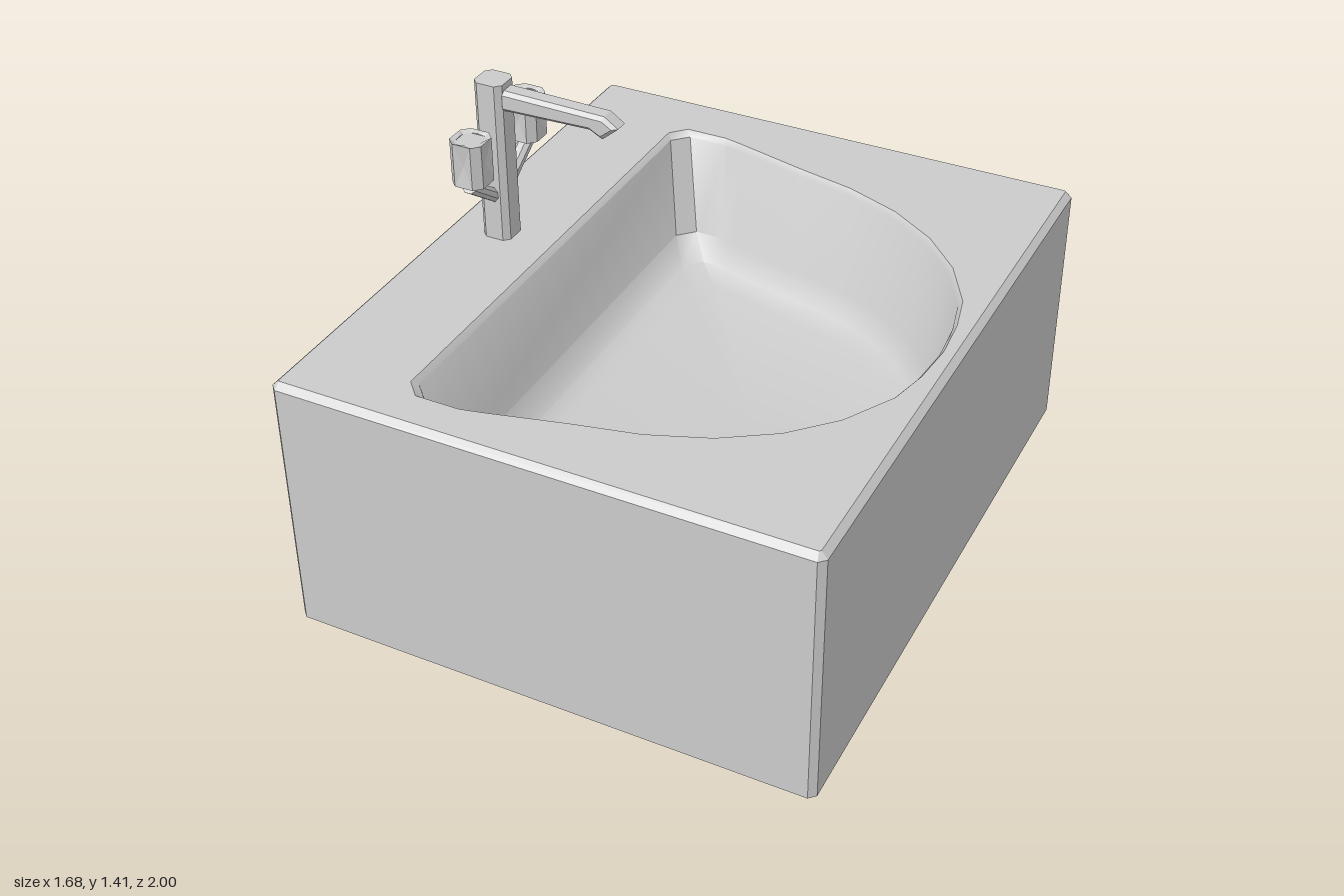
import * as THREE from 'three';
import { toCreasedNormals } from 'three/addons/utils/BufferGeometryUtils.js';

const material = new THREE.MeshStandardMaterial({ color: 0xcccccc });

function part(name, geometry, crease = 0.3) {
  const mesh = new THREE.Mesh(toCreasedNormals(geometry, crease), material);
  mesh.name = name;
  return mesh;
}

// Chamfered rectangle at height y, counter-clockwise seen from above
function octagon(w, d, c, y) {
  const a = w / 2, b = d / 2;
  return [[a, b - c], [a, c - b], [a - c, -b], [c - a, -b],
    [-a, c - b], [-a, b - c], [c - a, b], [a - c, b]]
    .map(([x, z]) => new THREE.Vector3(x, y, z));
}

// Skin over rings of points; dent pushes in the centre of every second side
function loft(rings, { bottom = true, top = true, dent = 0 } = {}) {
  const tris = [];
  const n = rings[0].length;
  const centre = (pts) => pts.reduce((s, p) => s.add(p), new THREE.Vector3()).divideScalar(pts.length);
  for (let i = 0; i + 1 < rings.length; i++) {
    for (let j = 0; j < n; j++) {
      const k = (j + 1) % n;
      const q = [rings[i][j], rings[i][k], rings[i + 1][k], rings[i + 1][j]];
      if (dent && j % 2 === 0) {
        const m = centre(q);
        const r = Math.hypot(m.x, m.z);
        m.x *= 1 - dent / r;
        m.z *= 1 - dent / r;
        q.forEach((p, s) => tris.push(p, q[(s + 1) % 4], m));
      } else tris.push(q[0], q[1], q[2], q[0], q[2], q[3]);
    }
  }
  const first = rings[0], last = rings[rings.length - 1];
  for (let j = 0; j < n; j++) {
    const k = (j + 1) % n;
    if (bottom) tris.push(first[k], first[j], centre(first));
    if (top) tris.push(last[j], last[k], centre(last));
  }
  return new THREE.BufferGeometry().setFromPoints(tris);
}

const H = 0.88, BASIN_Z = 0.03, TAP_X = -0.665, TAP_Z = 0.023;

// Half outlines [x, half width], from the round end to the straight wall
const rimHalf = [[0.787, 0], [0.775, 0.14], [0.746, 0.265], [0.656, 0.423], [0.534, 0.55], [0.38, 0.65],
  [0.2, 0.72], [0, 0.765], [-0.233, 0.825], [-0.3, 0.84], [-0.44, 0.84], [-0.487, 0.79]];
const floorHalf = [[0.632, 0], [0.625, 0.08], [0.6, 0.16], [0.535, 0.27], [0.44, 0.375], [0.33, 0.455],
  [0.2, 0.515], [0, 0.56], [-0.2, 0.615], [-0.22, 0.62], [-0.24, 0.625], [-0.3, 0.57]];

// Basin ring: t = 0 at the rim, 1 at the floor
function basinRing(t, y) {
  const half = rimHalf.map(([x, z], i) => [
    THREE.MathUtils.lerp(x, floorHalf[i][0], t), THREE.MathUtils.lerp(z, floorHalf[i][1], t)]);
  const mirrored = half.slice(1).reverse().map(([x, z]) => [x, -z]);
  return [...half, ...mirrored].map(([x, z]) => new THREE.Vector3(x, y, z + BASIN_Z));
}

function cabinet() {
  const group = new THREE.Group();
  group.name = 'cabinet';
  const b = 0.02, w = 1.68, d = 2;
  const inner = (y) => octagon(w - 2 * b, d - 2 * b, 0.005, y);
  group.add(part('cabinetBody', loft(
    [inner(0), octagon(w, d, b, b), octagon(w, d, b, H - b), inner(H)], { top: false })));
  // Counter with the basin opening cut out
  const flat = (pts) => pts.map((p) => new THREE.Vector2(p.x, -p.z));
  const shape = new THREE.Shape(flat(inner(H)));
  shape.holes.push(new THREE.Path(flat(basinRing(0, H))));
  group.add(part('counterTop', new THREE.ShapeGeometry(shape).rotateX(-Math.PI / 2).translate(0, H, 0)));
  return group;
}

function basin() {
  const profile = [[1, 0.44], [0.62, 0.465], [0.33, 0.535], [0.08, 0.863], [0, H]];
  return part('basin', loft(profile.map(([t, y]) => basinRing(t, y)), { top: false }), 0.65);
}

function spout() {
  const pts = [[-0.63, 1.32], [-0.332, 1.327], [-0.291, 1.305], [-0.238, 1.35], [-0.283, 1.381], [-0.63, 1.388]];
  const shape = new THREE.Shape(pts.map(([x, y]) => new THREE.Vector2(x, y)));
  const geometry = new THREE.ExtrudeGeometry(shape, {
    depth: 0.041, bevelThickness: 0.012, bevelSize: 0.012, bevelOffset: -0.012, bevelSegments: 1 });
  return part('spout', geometry.translate(0, 0, TAP_Z - 0.0205));
}

// Slanted arm carrying an upright knob
function handle(name, side, armReach, knobReach) {
  const group = new THREE.Group();
  group.name = name;
  const from = new THREE.Vector3(0, 1.025, side * 0.03);
  const to = new THREE.Vector3(0, 1.125, side * armReach);
  const along = to.clone().sub(from);
  const arm = part('handleArm', loft([octagon(0.045, 0.04, 0.012, 0), octagon(0.045, 0.04, 0.012, along.length())]));
  arm.position.copy(from);
  arm.quaternion.setFromUnitVectors(new THREE.Vector3(0, 1, 0), along.normalize());
  const s = 0.108, c = 0.024;
  const knob = part('handleKnob', loft([
    octagon(0.08, 0.08, 0.015, 1.14), octagon(s, s, c, 1.135), octagon(s, s, c, 1.278), octagon(0.08, 0.08, 0.015, 1.27),
  ], { dent: 0.008 }), 0.05);
  knob.position.z = side * knobReach;
  group.add(arm, knob);
  group.position.set(TAP_X, 0, TAP_Z);
  return group;
}

export function createModel() {
  const model = new THREE.Group();
  model.name = 'washbasin';
  const column = part('tapColumn', loft([octagon(0.095, 0.095, 0.018, H - 0.01), octagon(0.095, 0.095, 0.018, 1.408)]));
  column.position.set(TAP_X, 0, TAP_Z);
  const tap = new THREE.Group();
  tap.name = 'tap';
  tap.add(column, spout(), handle('frontHandle', 1, 0.165, 0.143), handle('backHandle', -1, 0.18, 0.173));
  model.add(cabinet(), basin(), tap);
  return model;
}
